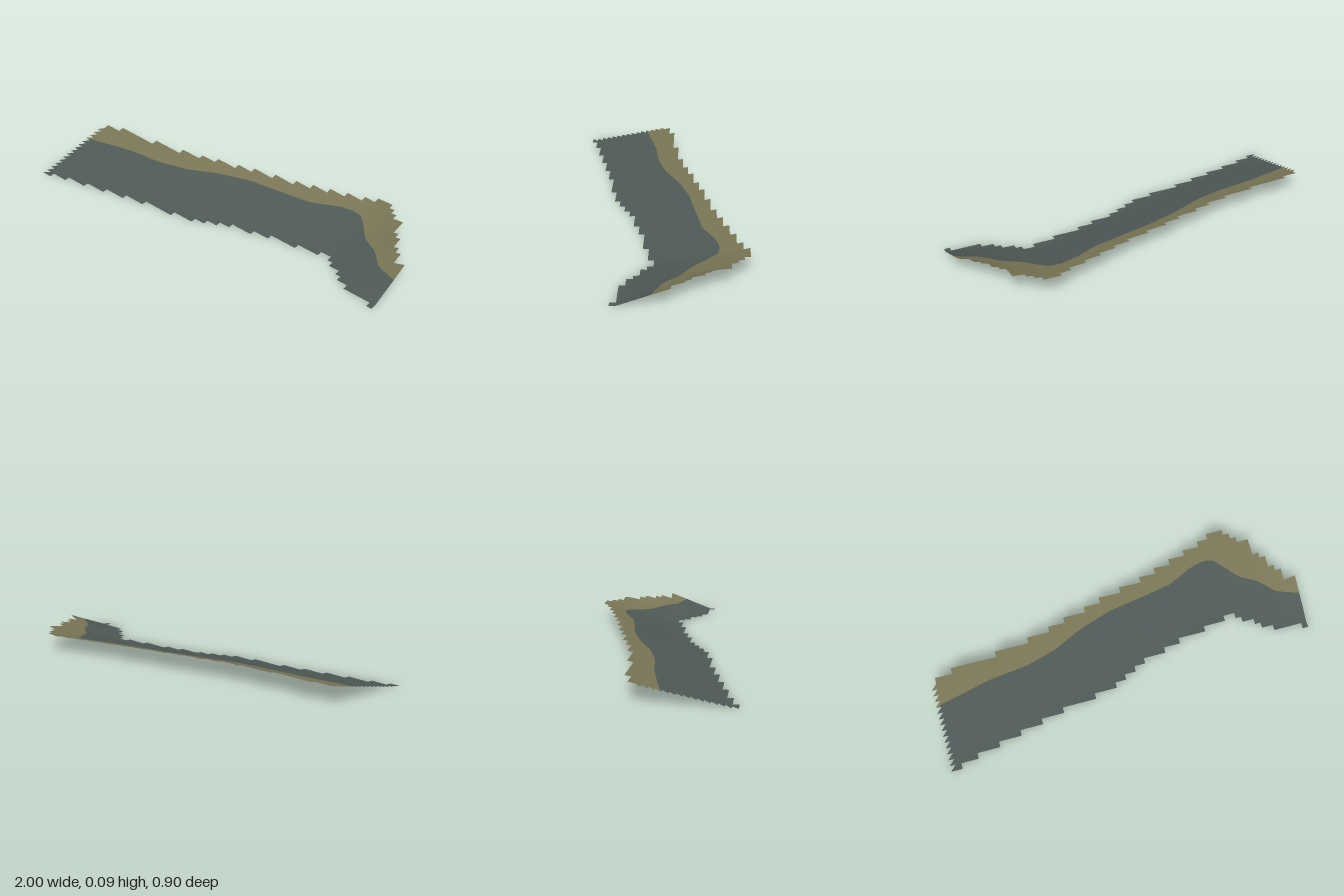
import * as THREE from 'three';
import { mergeVertices } from 'three/addons/utils/BufferGeometryUtils.js';

const COLUMNS = 67;
const CELL = 2 / COLUMNS;
const MAX_HEIGHT = 0.094;

// Piecewise linear curve through [x, z] points
function lineAt(points, x) {
  for (let i = 1; i < points.length; i++) {
    const [x0, z0] = points[i - 1], [x1, z1] = points[i];
    if (x <= x1) return z0 + (z1 - z0) * (x - x0) / (x1 - x0);
  }
  return points[points.length - 1][1];
}

// Expand [run length, row] pairs to one row per column
const expand = runs => runs.flatMap(([n, row]) => Array(n).fill(row));

// Stepped outline of the strip, in grid rows
const backRows = expand([
  [1, 0], [3, -1], [8, -2], [6, -3], [4, -4], [3, -5], [4, -6], [3, -7],
  [4, -8], [4, -9], [3, -10], [3, -11], [3, -12], [3, -13], [2, -14], [3, -15],
  [1, -14], [1, -13], [2, -12], [1, -9], [1, -8], [1, -6], [1, -5], [2, -3],
]);
const frontRows = expand([
  [2, 15], [3, 14], [4, 13], [4, 12], [4, 11], [4, 10], [6, 9], [4, 8],
  [2, 7], [2, 6], [2, 5], [4, 4], [3, 3], [5, 2], [4, 1], [2, 0],
  [1, 1], [2, 2], [1, 3], [2, 4], [5, 5], [1, 6],
]);

// Foot of the slope, its crest, and the border between the two colours
const foot = [[-1, 0.425], [-0.37, 0.27], [-0.1, 0.21], [0.1, 0.13], [0.28, 0.075],
  [0.45, 0.02], [0.6, -0.01], [0.66, 0.02], [0.78, 0.1], [0.85, 0.13], [1, 0.15]];
const crest = [[-1, -0.01], [-0.37, -0.1], [0, -0.22], [0.62, -0.43], [0.7, -0.4],
  [0.8, -0.33], [0.85, -0.24], [1, -0.08]];
const border = [[-1, 0.115], [-0.7, 0.045], [-0.5, 0.02], [-0.34, -0.025], [-0.18, -0.1],
  [0, -0.16], [0.165, -0.19], [0.35, -0.227], [0.48, -0.29], [0.565, -0.31], [0.61, -0.3],
  [0.66, -0.25], [0.715, -0.18], [0.805, -0.13], [0.885, -0.045], [1, 0]];

function heightAt(x, z) {
  const f = lineAt(foot, x);
  const t = (f - z) / (f - lineAt(crest, x));
  return THREE.MathUtils.clamp(t * 0.088, 0, MAX_HEIGHT);
}

// All triangles on one side of the colour border; clip is Math.max or Math.min
function bandTriangles(clip) {
  const out = [];
  const addTriangle = (a, b, c) => {
    const area = (b[0] - a[0]) * (c[1] - a[1]) - (c[0] - a[0]) * (b[1] - a[1]);
    if (Math.abs(area) < 1e-8) return;
    for (const [x, z] of [a, b, c]) out.push(x, heightAt(x, z), z);
  };
  for (let i = 0; i < COLUMNS; i++) {
    const x0 = -1 + i * CELL, x1 = x0 + CELL;
    const s0 = lineAt(border, x0), s1 = lineAt(border, x1);
    for (let k = backRows[i]; k < frontRows[i]; k++) {
      const z0 = k * CELL, z1 = z0 + CELL;
      // The end column keeps half of each cell, leaving a sawtooth edge
      const a = [x0, clip(i === 0 ? z1 : z0, s0)], b = [x0, clip(z1, s0)];
      const c = [x1, clip(z1, s1)], d = [x1, clip(z0, s1)];
      addTriangle(a, b, c);
      addTriangle(a, c, d);
    }
  }
  return out;
}

export function createModel() {
  const slate = new THREE.MeshStandardMaterial({ color: 0x4f5a57, side: THREE.DoubleSide });
  slate.name = 'slate';
  const khaki = new THREE.MeshStandardMaterial({ color: 0x7a7656, side: THREE.DoubleSide });
  khaki.name = 'khaki';

  // One sheet with two colour groups, so shading stays smooth over the border
  const lower = bandTriangles(Math.max), upper = bandTriangles(Math.min);
  let geometry = new THREE.BufferGeometry();
  geometry.setAttribute('position', new THREE.Float32BufferAttribute([...lower, ...upper], 3));
  geometry.addGroup(0, lower.length / 3, 0);
  geometry.addGroup(lower.length / 3, upper.length / 3, 1);
  geometry = mergeVertices(geometry, 1e-5);
  geometry.computeVertexNormals();

  const slope = new THREE.Mesh(geometry, [slate, khaki]);
  slope.name = 'bankSlope';
  const group = new THREE.Group();
  group.name = 'terrainStrip';
  group.add(slope);
  return group;
}
